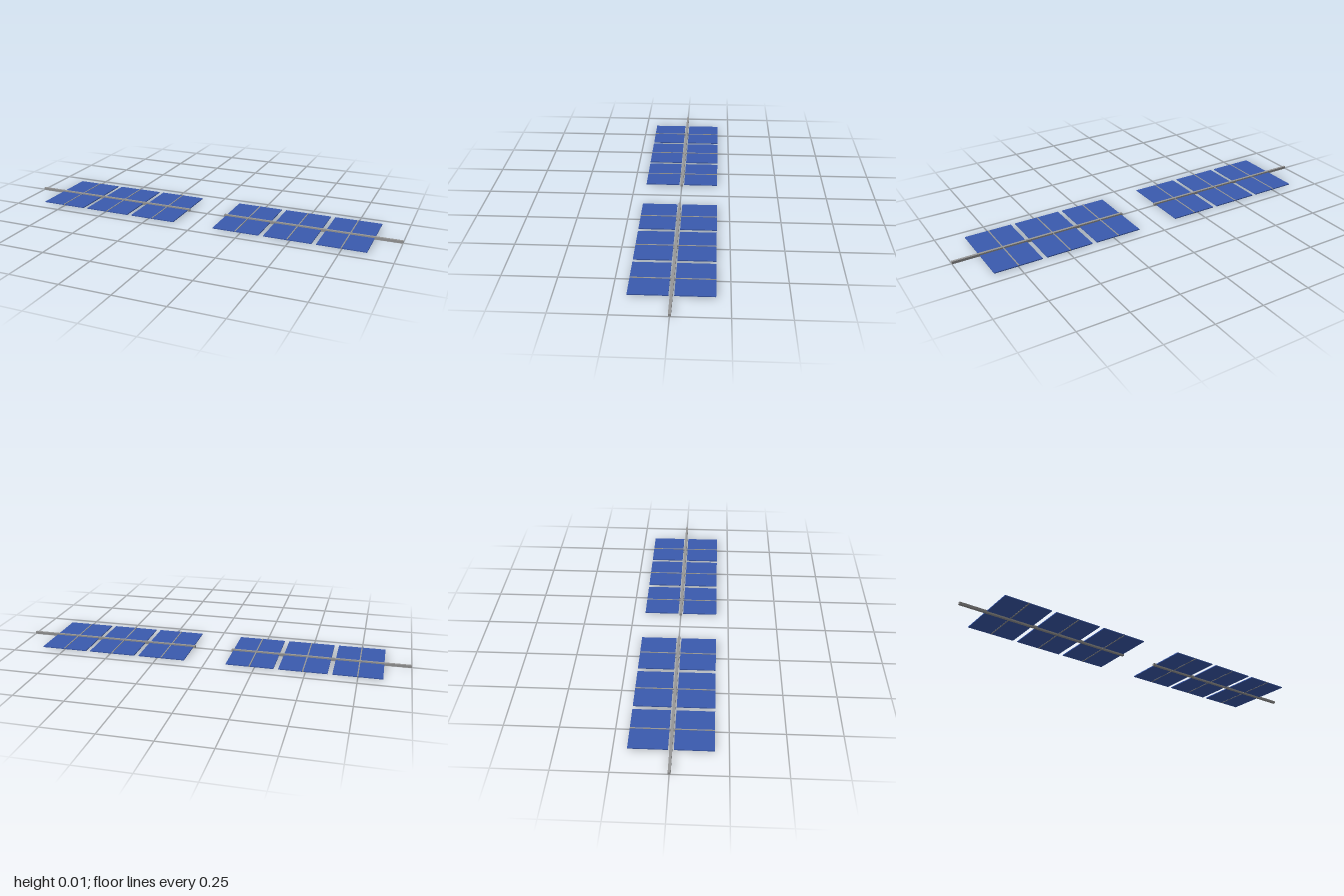
import * as THREE from 'three';

const material = (name, color) => {
  const m = new THREE.MeshStandardMaterial({ color });
  m.name = name;
  return m;
};

export function createModel() {
  const cellBlue = material('cell blue', 0x3a5aae);
  const metalGrey = material('metal grey', 0x969696);

  const model = new THREE.Group();
  model.name = 'solarArray';
  const midY = 0.0062;

  const add = (parent, name, geometry, mat, x, y, z) => {
    const mesh = new THREE.Mesh(geometry, mat);
    mesh.name = name;
    mesh.position.set(x, y, z);
    parent.add(mesh);
    return mesh;
  };

  // Shared part shapes
  const panel = new THREE.BoxGeometry(0.238, 0.0046, 0.175);
  const strip = new THREE.BoxGeometry(0.006, 0.007, 0.375);
  const rod = new THREE.BoxGeometry(0.903, 0.0124, 0.0124);

  for (const side of [-1, 1]) {
    const wing = new THREE.Group();
    wing.name = side > 0 ? 'leftWing' : 'rightWing';
    model.add(wing);
    add(wing, 'boom', rod, metalGrey, side * 0.5485, midY, 0);

    // Three pairs of panels, each pair joined by a strip across the boom
    for (const x of [0.226, 0.488, 0.749]) {
      const pair = new THREE.Group();
      pair.name = 'panelPair';
      pair.position.set(side * x, midY, 0);
      wing.add(pair);
      add(pair, 'crossStrip', strip, metalGrey, 0, 0.0004, 0);
      for (const z of [-0.1, 0.1]) add(pair, 'panel', panel, cellBlue, 0, 0, z);
    }
  }
  return model;
}
